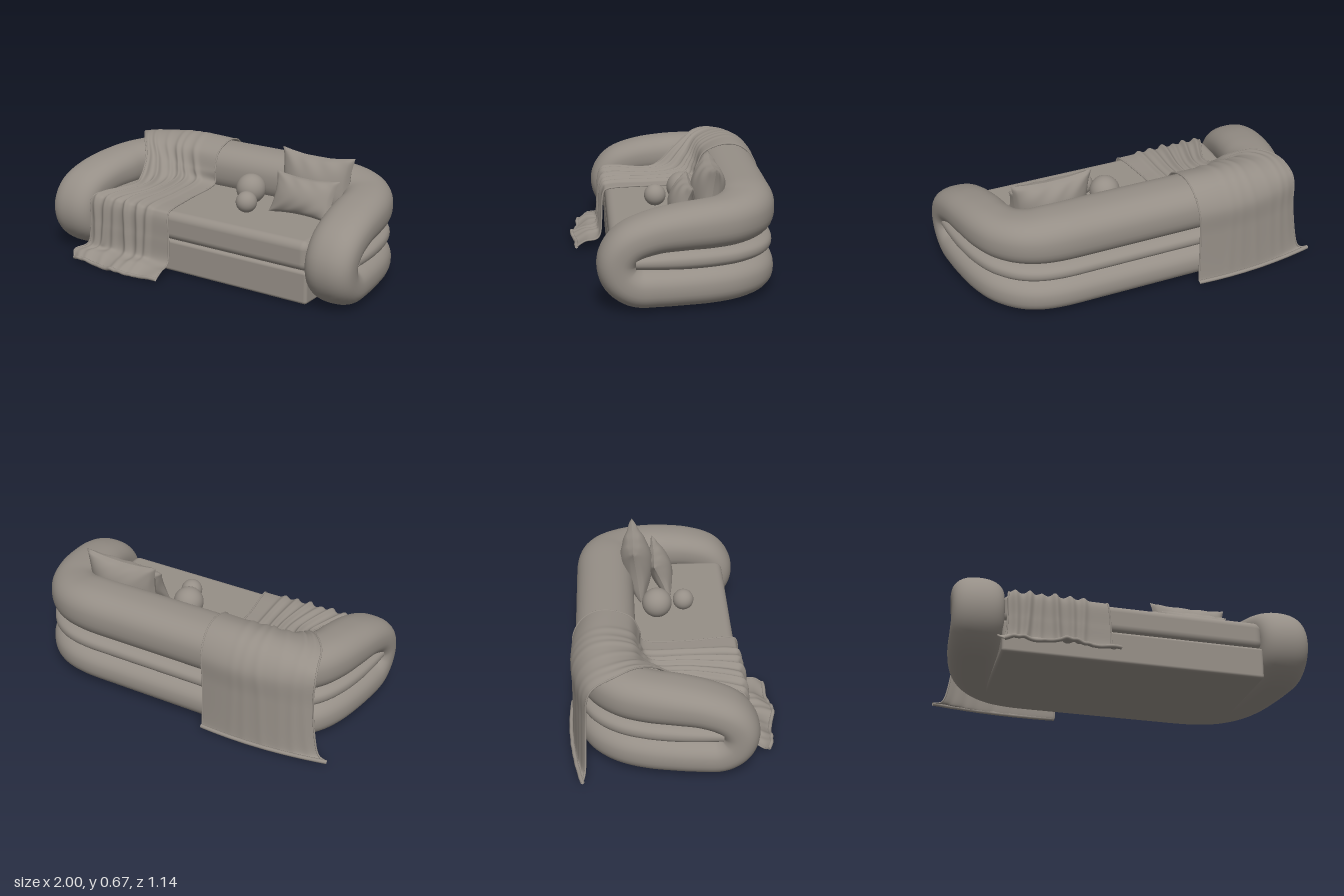
import * as THREE from 'three';
import { mergeVertices, mergeGeometries } from 'three/addons/utils/BufferGeometryUtils.js';
import { RoundedBoxGeometry } from 'three/addons/geometries/RoundedBoxGeometry.js';

const V = (x, y, z) => new THREE.Vector3(x, y, z);

// Smooth surface from a rule point(u, v); faces look along dv x du
function grid(nu, nv, point) {
  const pos = [], idx = [];
  for (let i = 0; i <= nv; i++)
    for (let j = 0; j <= nu; j++) pos.push(...point(j / nu, i / nv).toArray());
  for (let i = 0; i < nv; i++)
    for (let j = 0; j < nu; j++) {
      const a = i * (nu + 1) + j, c = a + nu + 1;
      idx.push(a, c, a + 1, a + 1, c, c + 1);
    }
  let g = new THREE.BufferGeometry();
  g.setAttribute('position', new THREE.Float32BufferAttribute(pos, 3));
  g.setIndex(idx);
  g = mergeVertices(g, 1e-5);
  g.computeVertexNormals();
  return g;
}

// Slightly squared sine and cosine give the padded section its fullness
const full = s => Math.sign(s) * Math.pow(Math.abs(s), 0.84);

// Sweep of a padded section; stations are [x, y, z, side angle, half width, half height]
function bolster(stations, closed) {
  const path = new THREE.CatmullRomCurve3(stations.map(s => V(s[0], s[1], s[2])), closed, 'catmullrom');
  const form = new THREE.CatmullRomCurve3(stations.map(s => V(s[3] * Math.PI / 180, s[4], s[5])), closed, 'catmullrom');
  return grid(40, 220, (u, v) => {
    const t = closed ? v % 1 : v, th = (u % 1) * Math.PI * 2;
    const f = form.getPoint(t);
    const side = V(Math.cos(f.x), 0, -Math.sin(f.x));
    const up = side.clone().cross(path.getTangent(t)).normalize();
    return path.getPoint(t)
      .addScaledVector(side, f.y * full(Math.cos(th)))
      .addScaledVector(up, f.z * full(Math.sin(th)));
  });
}

// Puffed cushion with pinched corners and a sharp seam
function pillow(hw, hh, thick) {
  const half = s => grid(36, 30, (u, v) => {
    const a = -s * (2 * u - 1), b = 2 * v - 1;
    const puff = Math.pow(Math.max(0, (1 - a * a) * (1 - b * b)), 0.55);
    const crease = 0.007 * Math.sin(11 * a + 5 * b * b) * b * b * Math.sqrt(puff);
    return V(hw * a * (1 - 0.1 * (1 - b * b)), hh * b * (1 - 0.15 * (1 - a * a)), s * (thick * puff + crease));
  });
  return mergeGeometries([half(1), half(-1)]);
}

export function createModel() {
  const model = new THREE.Group();
  model.name = 'sofa';
  const fabric = new THREE.MeshStandardMaterial({ color: 0x968f87 });
  fabric.name = 'warm grey fabric';
  const cloth = new THREE.MeshStandardMaterial({ color: 0x968f87, side: THREE.DoubleSide });
  cloth.name = 'warm grey cloth';
  const add = (name, geo, x = 0, y = 0, z = 0, mat = fabric) => {
    const m = new THREE.Mesh(geo, mat);
    m.name = name;
    m.position.set(x, y, z);
    model.add(m);
    return m;
  };

  // Frame: one fat loop running over the arms and back and returning underneath
  const upper = [
    [0.86, 0.262, 0.328, 0, 0.14, 0.106],
    [0.857, 0.345, 0.27, 0, 0.143, 0.106],
    [0.843, 0.394, 0.145, 0, 0.147, 0.108],
    [0.823, 0.413, 0, 5, 0.148, 0.117],
    [0.80, 0.42, -0.13, 15, 0.143, 0.123],
    [0.75, 0.424, -0.24, 35, 0.146, 0.126],
    [0.66, 0.432, -0.32, 62, 0.156, 0.132],
    [0.53, 0.438, -0.352, 85, 0.164, 0.14],
    [0.3, 0.438, -0.355, 90, 0.165, 0.141],
    [0, 0.438, -0.355, 90, 0.165, 0.141],
  ];
  const corner = upper.slice(3);
  const lower = [
    [0.858, 0.175, 0.312, 0, 0.14, 0.106],
    [0.852, 0.12, 0.235, 0, 0.143, 0.107],
    [0.84, 0.114, 0.12, 0, 0.147, 0.107],
    ...corner.map(([x, , z, a, w]) => [x, 0.114, z, a, w, 0.107]),
  ];
  const mirror = list => list.map(([x, y, z, a, w, h]) => [-x, y, z, 180 - a, w, h]);
  const back = list => list.slice(0, -1).reverse();
  add('frameLoop', bolster([...upper, ...back(mirror(upper)), ...mirror(lower), ...back(lower)], true));

  // Slim roll squeezed between the upper and lower frame
  const middle = [
    [0.852, 0.262, 0.24, 0, 0.125, 0.045],
    [0.842, 0.262, 0.12, 0, 0.13, 0.052],
    ...corner.map(([x, , z, a, w]) => [x, 0.262, z, a, w - 0.012, 0.058]),
  ];
  add('middleRoll', bolster([...middle, ...back(mirror(middle))], false));

  // Seat
  add('seatBase', new RoundedBoxGeometry(1.46, 0.185, 0.64, 4, 0.018), 0, 0.1, 0.04);
  add('seatCushion', new RoundedBoxGeometry(1.46, 0.165, 0.64, 6, 0.045), 0, 0.27, 0.042);

  // Loose cushions and balls
  add('largePillow', pillow(0.232, 0.168, 0.095), 0.47, 0.508, -0.168).rotation.x = -0.13;
  add('smallPillow', pillow(0.2, 0.118, 0.065), 0.475, 0.46, -0.025).rotation.x = -0.4;
  add('largeBall', new THREE.SphereGeometry(0.085, 32, 20), 0.107, 0.433, -0.06);
  add('smallBall', new THREE.SphereGeometry(0.06, 32, 20), 0.178, 0.408, 0.095);

  // Throw: left, middle and right edges followed from the back floor to the front floor
  const edges = [
    [[-0.985, 0.014, -0.49], [-0.92, 0.05, -0.475], [-0.88, 0.3, -0.465], [-0.88, 0.46, -0.455],
      [-0.87, 0.53, -0.41], [-0.84, 0.568, -0.31], [-0.76, 0.565, -0.2], [-0.66, 0.49, -0.08],
      [-0.62, 0.39, 0.03], [-0.61, 0.365, 0.13], [-0.69, 0.362, 0.32], [-0.71, 0.33, 0.375],
      [-0.71, 0.2, 0.385], [-0.72, 0.075, 0.4], [-0.77, 0.05, 0.46], [-0.74, 0.014, 0.5]],
    [[-0.62, 0.014, -0.548], [-0.6, 0.04, -0.538], [-0.59, 0.3, -0.532], [-0.58, 0.46, -0.53],
      [-0.57, 0.565, -0.46], [-0.56, 0.597, -0.35], [-0.52, 0.55, -0.22], [-0.47, 0.45, -0.165],
      [-0.43, 0.38, -0.1], [-0.41, 0.365, 0.1], [-0.43, 0.362, 0.32], [-0.43, 0.33, 0.375],
      [-0.43, 0.2, 0.385], [-0.43, 0.075, 0.4], [-0.43, 0.05, 0.48], [-0.43, 0.014, 0.55]],
    [[-0.26, 0.014, -0.55], [-0.26, 0.04, -0.535], [-0.26, 0.3, -0.532], [-0.25, 0.46, -0.53],
      [-0.24, 0.565, -0.46], [-0.235, 0.597, -0.35], [-0.23, 0.55, -0.22], [-0.22, 0.45, -0.17],
      [-0.21, 0.375, -0.14], [-0.2, 0.362, 0.1], [-0.17, 0.36, 0.32], [-0.16, 0.33, 0.375],
      [-0.15, 0.2, 0.385], [-0.145, 0.075, 0.4], [-0.13, 0.05, 0.47], [-0.13, 0.014, 0.525]],
  ].map(e => new THREE.CatmullRomCurve3(e.map(p => V(...p)), false, 'catmullrom'));
  const sheet = (u, v) => {
    const p = V(0, 0, 0), k = [(1 - u) * (1 - 2 * u), 4 * u * (1 - u), u * (2 * u - 1)];
    edges.forEach((e, i) => p.addScaledVector(e.getPoint(v), k[i]));
    return p;
  };
  // Ridges run lengthwise, deep at the front and faint at the back
  const ridges = [0.06, 0.18, 0.33, 0.48, 0.6, 0.73];
  const folded = (u, v) => {
    const p = sheet(u, v), e = 0.004;
    const u0 = Math.min(u, 1 - e), v0 = Math.min(v, 1 - e), o = sheet(u0, v0);
    const n = sheet(u0, v0 + e).sub(o).cross(sheet(u0 + e, v0).sub(o)).normalize();
    const floor = THREE.MathUtils.smoothstep(v, 0.84, 0.93);
    const depth = THREE.MathUtils.lerp(0.003, 0.024, THREE.MathUtils.smoothstep(v, 0.25, 0.6)) * (1 - 0.6 * floor);
    let lift = 0;
    ridges.forEach((c, i) => {
      const d = (u - c - 0.025 * Math.sin(9 * v + i * 1.7)) / 0.036;
      lift += Math.exp(-d * d) * (0.75 + 0.25 * Math.sin(i * 2.4));
    });
    p.addScaledVector(n, depth * lift);
    // Soft puddle on the floor
    p.z += floor * 0.009 * Math.sin(13 * u + 1);
    p.y = Math.max(0.011, p.y + floor * 0.006 * Math.sin(15 * u + 25 * v));
    return p;
  };
  add('throwBlanket', grid(110, 150, folded), 0, 0, 0, cloth);

  // Rolled hems at the ends and sides of the throw
  const hem = (name, point, r) => {
    const pts = Array.from({ length: 61 }, (_, i) => point(i / 60));
    add(name, new THREE.TubeGeometry(new THREE.CatmullRomCurve3(pts), 120, r, 8), 0, 0, 0, cloth);
  };
  hem('frontHem', t => folded(t, 1), 0.011);
  hem('backHem', t => folded(t, 0), 0.011);
  hem('leftHem', t => folded(0, t), 0.005);
  hem('rightHem', t => folded(1, t), 0.005);
  return model;
}
